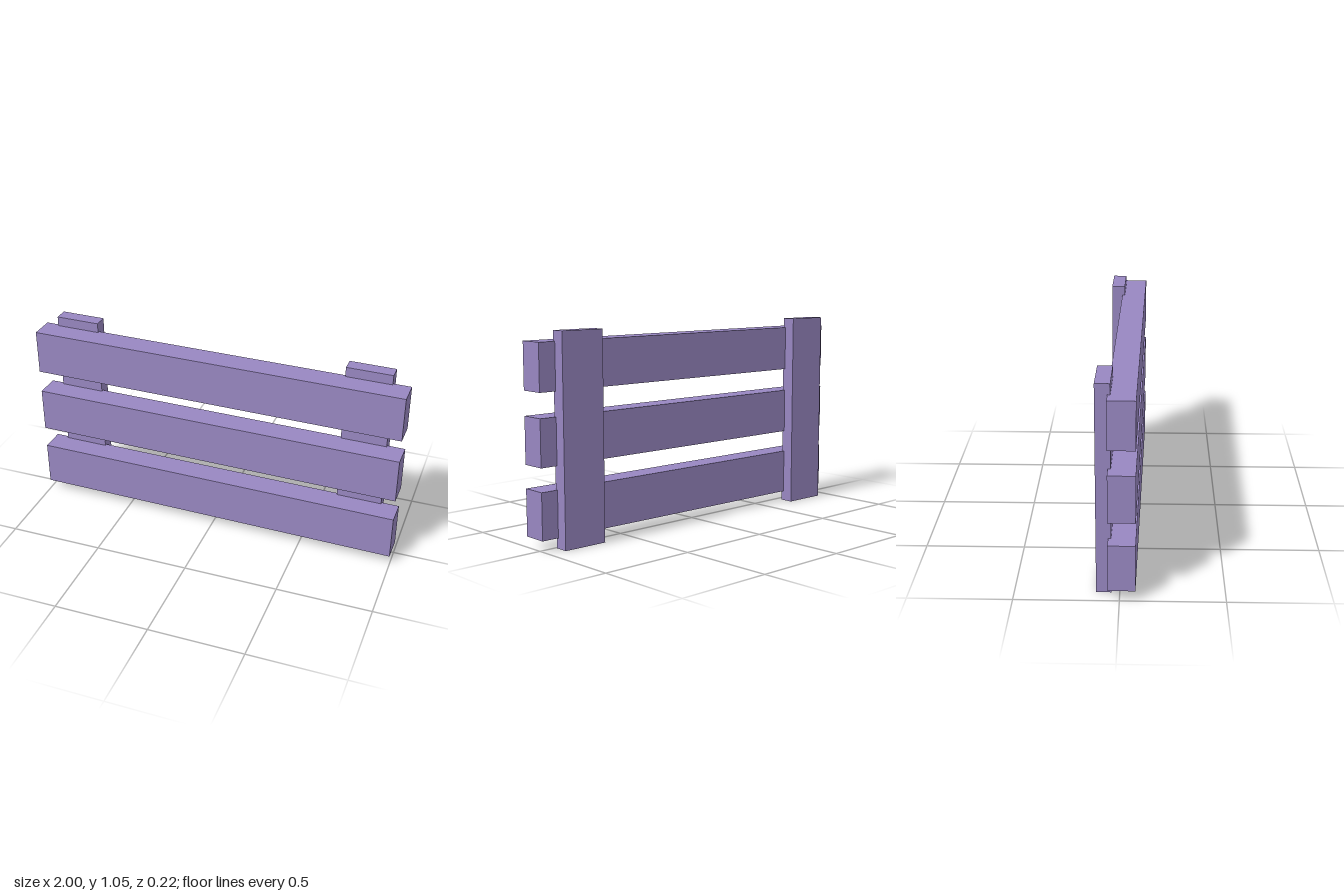
import * as THREE from 'three';

export function createModel() {
  const model = new THREE.Group();
  model.name = 'fencePanel';
  const wood = new THREE.MeshStandardMaterial({ color: 0x9887c1 });
  wood.name = 'lavenderWood';

  const addBoard = (name, size, position) => {
    const board = new THREE.Mesh(new THREE.BoxGeometry(...size), wood);
    board.name = name;
    board.position.set(...position);
    model.add(board);
  };

  // Three horizontal slats
  ['lowerSlat', 'middleSlat', 'upperSlat'].forEach((name, i) => {
    addBoard(name, [1.997, 0.237, 0.13], [0, [0.171, 0.525, 0.884][i], 0.0265]);
  });

  // Two upright posts behind, slightly sunk into the slats
  addBoard('rightPost', [0.237, 1.054, 0.072], [-0.807, 0.527, -0.061]);
  addBoard('leftPost', [0.239, 1.054, 0.072], [0.787, 0.527, -0.061]);

  // The whole panel stands at a slight turn
  model.rotation.y = -0.0166;
  return model;
}
